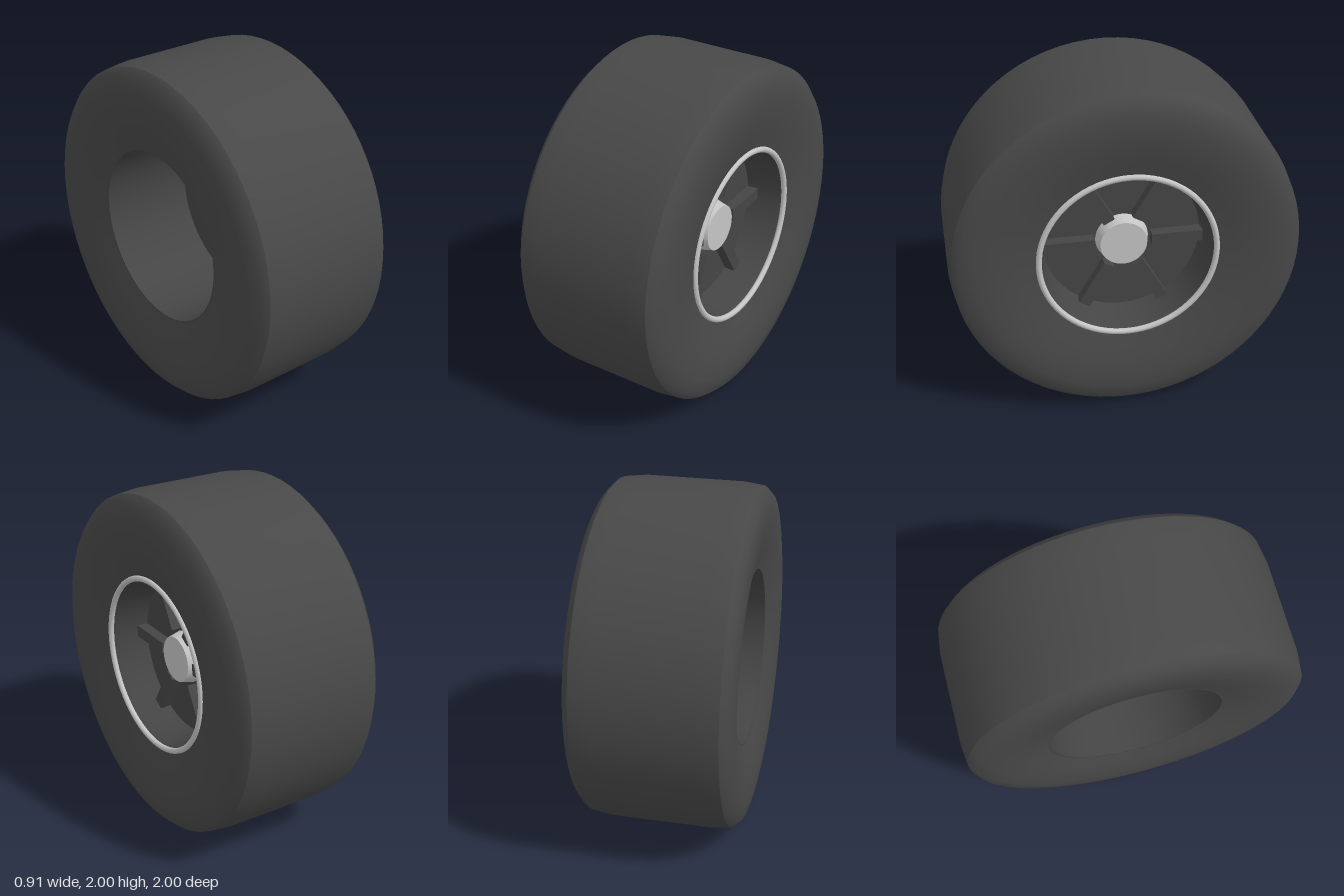
import * as THREE from 'three';

const SEGMENTS = 72;

export function createModel() {
  const rubber = new THREE.MeshStandardMaterial({ color: 0x484848 });
  rubber.name = 'tyre rubber';
  const darkMetal = new THREE.MeshStandardMaterial({ color: 0x454545 });
  darkMetal.name = 'dark rim metal';
  const silver = new THREE.MeshStandardMaterial({ color: 0xc4c4c4 });
  silver.name = 'silver metal';

  // The wheel is built around the y axis, then laid on its side so +y becomes +x.
  const wheel = new THREE.Group();
  wheel.name = 'wheel';
  wheel.rotation.z = -Math.PI / 2;
  wheel.position.y = 1;

  const add = (name, geometry, material, parent = wheel) => {
    const mesh = new THREE.Mesh(geometry, material);
    mesh.name = name;
    parent.add(mesh);
    return mesh;
  };

  // Profiles are [radius, distance along the axle]; rising order faces outward.
  const lathe = (profile) =>
    new THREE.LatheGeometry(profile.map(([r, h]) => new THREE.Vector2(r, h)), SEGMENTS);
  const mirrored = (profile) => profile.map(([r, h]) => [r, -h]).reverse();

  // Tyre: slightly crowned tread and two dished sidewalls meeting it at a crease
  const shoulder = [[1, 0.28], [0.985, 0.4]];
  const sidewall = [
    [0.985, 0.4], [0.945, 0.44], [0.86, 0.455], [0.77, 0.452],
    [0.68, 0.44], [0.6, 0.42], [0.52, 0.4],
  ];
  add('tread', lathe([...mirrored(shoulder), ...shoulder]), rubber);
  add('outerSidewall', lathe(sidewall), rubber);
  add('innerSidewall', lathe(mirrored(sidewall)), rubber);

  // Rim barrel: tapered bowl in front of the disc, straight tube open behind it
  add('rimBowl', lathe([[0.5, 0.4], [0.485, 0.37], [0.455, 0.18]]), darkMetal);
  add('rimBarrel', lathe([[0.51, 0.18], [0.51, -0.4]]), darkMetal);
  add('rearRimEdge', lathe([[0.51, -0.4], [0.522, -0.4]]), darkMetal);

  // Bright lip around the outer face
  const lip = add('rimLip', new THREE.TorusGeometry(0.505, 0.017, 12, SEGMENTS), silver);
  lip.rotation.x = Math.PI / 2;
  lip.position.y = 0.4;

  // Wheel disc closing the barrel
  const disc = add('wheelDisc', new THREE.CylinderGeometry(0.51, 0.51, 0.02, SEGMENTS), darkMetal);
  disc.position.y = 0.17;

  // Six raised spokes
  const spokes = new THREE.Group();
  spokes.name = 'spokes';
  wheel.add(spokes);
  for (let i = 0; i < 6; i++) {
    const arm = new THREE.Group();
    arm.name = 'spokeArm';
    arm.rotation.y = (i * Math.PI) / 3;
    spokes.add(arm);
    const spoke = add('spoke', new THREE.BoxGeometry(0.07, 0.07, 0.295), darkMetal, arm);
    spoke.position.set(0, 0.21, 0.3125);
  }

  // Tapered centre hub
  const hub = add('hub', new THREE.CylinderGeometry(0.135, 0.155, 0.08, 48), silver);
  hub.position.y = 0.215;

  const model = new THREE.Group();
  model.name = 'racingWheel';
  model.add(wheel);
  return model;
}
